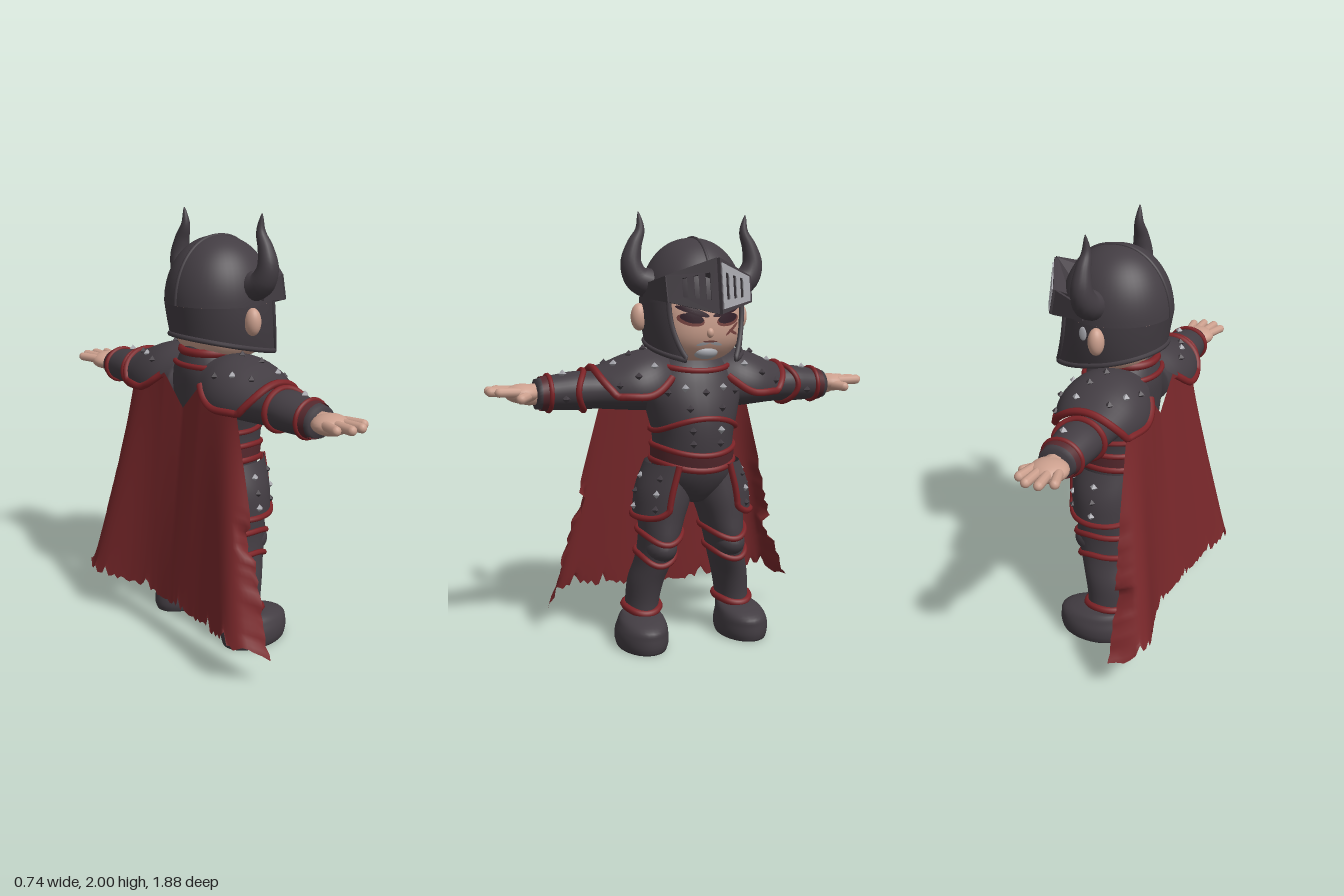
import * as THREE from 'three';
import { mergeVertices } from 'three/addons/utils/BufferGeometryUtils.js';

const V = (x, y, z) => new THREE.Vector3(x, y, z);
const mat = (name, color, side = THREE.FrontSide) => Object.assign(new THREE.MeshStandardMaterial({ color, side }), { name });
const { sin, cos, abs, max, min, PI, pow } = Math;

export function createModel() {
  const armour = mat('dark armour', 0x433d43, THREE.DoubleSide), trim = mat('red trim', 0x7e2327);
  const cloth = mat('cape cloth', 0x7a282b, THREE.DoubleSide), skin = mat('skin', 0xcca08e);
  const steel = mat('steel', 0xa6a6ac, THREE.DoubleSide), eyeDark = mat('eye dark', 0x33202a);
  const scarRed = mat('scar', 0x7a4642), hair = mat('grey beard', 0xa8aab0);
  const leather = mat('belt leather', 0x54282d, THREE.DoubleSide);
  const body = new THREE.Group();
  body.name = 'knight';

  const add = (g, name, geo, m) => {
    const mesh = new THREE.Mesh(geo, m);
    mesh.name = name;
    g.add(mesh);
    return mesh;
  };
  const pair = (name, build) => [1, -1].forEach(s => {
    const g = new THREE.Group();
    g.name = (s > 0 ? 'left' : 'right') + name;
    g.scale.x = s;
    build(g, s);
    body.add(g);
  });
  const weld = geo => {
    geo.deleteAttribute('uv');
    geo.deleteAttribute('normal');
    const w = mergeVertices(geo, 1e-4);
    w.computeVertexNormals();
    return w;
  };
  // Surface from a rule fn(u, v)
  const grid = (fn, nu, nv) => {
    const pos = [], idx = [];
    for (let i = 0; i <= nv; i++) for (let j = 0; j <= nu; j++) {
      pos.push(...fn(j / nu, i / nv).toArray());
      if (i < nv && j < nu) {
        const a = i * (nu + 1) + j, c = a + nu + 1;
        idx.push(a, a + 1, c + 1, a, c + 1, c);
      }
    }
    const geo = new THREE.BufferGeometry();
    geo.setAttribute('position', new THREE.Float32BufferAttribute(pos, 3));
    geo.setIndex(idx);
    return weld(geo);
  };
  // Smooth elliptical skin through rings [t, cx, cz, rx, rz]
  const surface = rings => (a, t, off = 0) => {
    const n = rings.length;
    let i = 0;
    while (i < n - 2 && rings[i + 1][0] <= t) i++;
    const h = rings[i + 1][0] - rings[i][0], f = min(1, max(0, (t - rings[i][0]) / h));
    const slope = (k, c) => {
      const p = rings[max(0, k - 1)], q = rings[min(n - 1, k + 1)];
      return (q[c] - p[c]) / (q[0] - p[0]) * h;
    };
    const [cx, cz, rx, rz] = [1, 2, 3, 4].map(c => {
      const f2 = f * f, f3 = f2 * f;
      return (2 * f3 - 3 * f2 + 1) * rings[i][c] + (f3 - 2 * f2 + f) * slope(i, c)
        + (3 * f2 - 2 * f3) * rings[i + 1][c] + (f3 - f2) * slope(i + 1, c);
    });
    return V(cx + (rx + off) * sin(a), t, cz + (rz + off) * cos(a));
  };
  const loft = (at, t0, t1, rows = 28) => grid((u, v) => {
    const k = min(1, max(0, (v * rows - 1) / (rows - 2))), t = t0 + (t1 - t0) * k;
    return v === 0 || v === 1 ? at(0, t).add(at(PI, t)).multiplyScalar(0.5) : at(u * 2 * PI, t);
  }, 32, rows);
  const tube = (pts, r, closed = false) =>
    new THREE.TubeGeometry(new THREE.CatmullRomCurve3(pts, closed), pts.length * 2, r, 7, closed);
  // Closed trim around a lofted surface; tFn gives its height at each angle
  const band = (g, name, at, tFn, r = 0.014) => add(g, name,
    tube(Array.from({ length: 32 }, (_, i) => at(i / 16 * PI, tFn(i / 16 * PI), 0.004)), r, true), trim);
  const stud = (g, p, bright) => add(g, 'stud', new THREE.OctahedronGeometry(0.019), bright ? steel : armour).position.copy(p);
  const ball = (g, name, p, r, m) => {
    const b = add(g, name, new THREE.SphereGeometry(1, 24, 16), m);
    b.position.set(...p);
    b.scale.set(...r);
  };
  const finger = (g, name, p, q, r) => {
    const d = q.clone().sub(p), b = add(g, name, new THREE.CapsuleGeometry(r, d.length(), 4, 10), skin);
    b.position.copy(p).addScaledVector(d, 0.5);
    b.quaternion.setFromUnitVectors(V(0, 1, 0), d.normalize());
  };
  const front = a => pow(max(0, cos(a)), 2);

  // Torso, belt and chest trims
  const torso = surface([[0.68, 0, 0.01, 0.06, 0.1], [0.73, 0, 0.015, 0.14, 0.14], [0.8, 0, 0.022, 0.185, 0.175],
    [0.88, 0, 0.03, 0.187, 0.19], [1.0, 0, 0.04, 0.19, 0.195], [1.1, 0, 0.035, 0.215, 0.195],
    [1.2, 0, 0.02, 0.235, 0.187], [1.3, 0, 0, 0.2, 0.17], [1.38, 0, -0.02, 0.13, 0.13], [1.42, 0, -0.02, 0.1, 0.11]]);
  add(body, 'torso', loft(torso, 0.68, 1.42, 40), armour);
  const sag = a => 0.035 * front(a);
  add(body, 'belt', grid((u, v) => torso(u * 2 * PI, 0.88 + 0.07 * v - sag(u * 2 * PI), 0.008), 40, 3), leather);
  band(body, 'beltLowerTrim', torso, a => 0.88 - sag(a), 0.016);
  band(body, 'beltUpperTrim', torso, a => 0.95 - sag(a), 0.013);
  band(body, 'chestPlateTrim', torso, a => 1.02 + 0.065 * front(a), 0.013);
  band(body, 'necklineTrim', torso, a => 1.325 - 0.03 * front(a), 0.013);
  band(body, 'collarTrim', torso, () => 1.385, 0.019);
  [-0.75, -0.4, 0, 0.4, 0.75].forEach((a, i) => stud(body, torso(a, 1.2 + 0.02 * (i % 2), 0.003), i % 2));
  [0.97, 1.03, 1.13].forEach((t, i) => [-0.35, 0.35].forEach(a => stud(body, torso(a, t, 0.003), i === 1 && a > 0)));

  // Legs
  pair('Leg', g => {
    const leg = surface([[0.13, 0.237, -0.03, 0.078, 0.1], [0.2, 0.23, -0.03, 0.078, 0.103], [0.3, 0.215, -0.02, 0.083, 0.115],
      [0.4, 0.185, 0.005, 0.084, 0.125], [0.5, 0.165, 0.02, 0.09, 0.14], [0.6, 0.15, 0.02, 0.105, 0.138],
      [0.7, 0.13, 0.015, 0.12, 0.143], [0.82, 0.1, 0.01, 0.1, 0.14]]);
    add(g, 'leg', loft(leg, 0.13, 0.82), armour);
    ball(g, 'kneePlate', [0.172, 0.47, 0.07], [0.075, 0.07, 0.1], armour);
    band(g, 'kneeUpperTrim', leg, a => 0.545 - 0.045 * front(a));
    band(g, 'kneeLowerTrim', leg, a => 0.44 - 0.045 * front(a));
    band(g, 'ankleTrim', leg, a => 0.175 - 0.02 * front(a), 0.017);
    // Blunt boot with a flat sole
    const boot = surface([[0, 0.255, 0.03, 0.112, 0.172], [0.03, 0.255, 0.03, 0.12, 0.18], [0.07, 0.255, 0.032, 0.119, 0.178],
      [0.105, 0.252, 0.034, 0.11, 0.17], [0.13, 0.248, 0.015, 0.1, 0.145], [0.15, 0.24, -0.02, 0.08, 0.105]]);
    add(g, 'boot', loft(boot, 0, 0.15, 18), armour);
    // Hip plate
    const hip = surface([[0.61, 0.095, 0.03, 0.19, 0.168], [0.75, 0.095, 0.03, 0.175, 0.17], [0.88, 0.09, 0.03, 0.125, 0.168]]);
    const edge = (u, v) => {
      const a0 = 0.4 - 0.15 * v, low = 0.625 + 0.04 * pow(abs(2 * u - 1), 6);
      return hip(a0 + u * (PI - 2 * a0), low + (0.87 - low) * v, 0.004);
    };
    add(g, 'hipPlate', grid(edge, 24, 8), armour);
    const line = [];
    for (let i = 8; i > 0; i--) line.push(edge(0, i / 8));
    for (let i = 0; i <= 16; i++) line.push(edge(i / 16, 0));
    for (let i = 1; i <= 8; i++) line.push(edge(1, i / 8));
    add(g, 'hipPlateTrim', tube(line, 0.015), trim);
    [0.67, 0.74, 0.81].forEach((t, i) => [0.75, PI / 2].forEach((a, k) => stud(g, hip(a, t, 0.004), (i + k) % 2)));
  });

  // Arms, built along y and laid sideways
  pair('Arm', g => {
    const arm = new THREE.Group();
    arm.name = 'armArmour';
    arm.rotation.z = -PI / 2;
    g.add(arm);
    const at = surface([[0.14, -1.2, -0.04, 0.1, 0.12], [0.3, -1.205, -0.045, 0.097, 0.11], [0.45, -1.205, -0.05, 0.086, 0.1],
      [0.54, -1.205, -0.05, 0.088, 0.103], [0.63, -1.2, -0.05, 0.08, 0.092], [0.72, -1.195, -0.045, 0.068, 0.077]]);
    add(arm, 'sleeve', loft(at, 0.14, 0.72), armour);
    band(arm, 'elbowTrim', at, a => 0.5 + 0.045 * front(a));
    add(arm, 'cuff', grid((u, v) => at(u * 2 * PI, 0.66 + 0.04 * v, 0.006), 32, 2), leather);
    band(arm, 'cuffTrim', at, () => 0.662, 0.011);
    [0, -PI / 2].forEach((a, i) => stud(arm, at(a + 0.3, 0.6, 0.003), i));
    // Shoulder plate, lobed front and back
    const shoulder = surface([[0.1, -1.2, -0.03, 0.17, 0.165], [0.2, -1.2, -0.025, 0.185, 0.2], [0.3, -1.2, -0.025, 0.165, 0.2],
      [0.4, -1.2, -0.035, 0.125, 0.165], [0.46, -1.2, -0.045, 0.105, 0.13]]);
    const cap = (u, v) => {
      const half = 1.0 + 0.65 * sin(PI / 2 * min(1, v * 1.6));
      return shoulder(-PI / 2 + (2 * u - 1) * half, 0.1 + v * (0.36 - 0.07 * pow(abs(2 * u - 1), 3)), 0.004);
    };
    add(arm, 'shoulderPlate', grid(cap, 28, 14), armour);
    const line = [];
    for (let i = 1; i < 8; i++) line.push(cap(0, i / 8));
    for (let i = 0; i <= 16; i++) line.push(cap(i / 16, 1));
    for (let i = 7; i > 0; i--) line.push(cap(1, i / 8));
    add(arm, 'shoulderPlateTrim', tube(line, 0.017), trim);
    [0.22, 0.3, 0.38].forEach((t, i) => [-0.9, 0, 0.9].forEach((a, k) =>
      stud(arm, shoulder(-PI / 2 + a + 0.2 * i, t, 0.006), (i + 2 * k) % 3 === 1)));
    // Hand
    ball(g, 'palm', [0.775, 1.2, -0.052], [0.08, 0.044, 0.082], skin);
    finger(g, 'wrist', V(0.7, 1.195, -0.045), V(0.75, 1.195, -0.045), 0.048);
    [[-0.108, -0.136, 0.88], [-0.07, -0.086, 0.917], [-0.03, -0.03, 0.919], [0.003, 0.016, 0.888]].forEach(([z0, z1, x]) =>
      finger(g, 'finger', V(0.8, 1.21, z0), V(x, 1.213, z1), 0.021));
    finger(g, 'thumb', V(0.75, 1.195, -0.01), V(0.8, 1.185, 0.052), 0.023);
  });

  // Head and face
  const P = 2.6, R = [0.205, 0.185, 0.208], C = [0, 1.515, 0.05];
  const headGeo = new THREE.SphereGeometry(1, 36, 26), hp = headGeo.attributes.position;
  for (let i = 0; i < hp.count; i++) {
    const d = [hp.getX(i), hp.getY(i), hp.getZ(i)];
    const n = pow(d.reduce((s, c) => s + pow(abs(c), P), 0), 1 / P);
    hp.setXYZ(i, ...d.map((c, k) => C[k] + c / n * R[k]));
  }
  add(body, 'head', weld(headGeo), skin);
  const faceZ = (x, y) => C[2] + R[2] * pow(max(0, 1 - pow(abs(x / R[0]), P) - pow(abs((y - C[1]) / R[1]), P)), 1 / P);
  const patch = (name, cx, cy, rx, ry, turn, m, off = 0.006) => {
    const geo = new THREE.RingGeometry(0.001, 1, 18, 4).scale(rx, ry, 1).rotateZ(turn).translate(cx, cy, 0);
    const p = geo.attributes.position;
    for (let i = 0; i < p.count; i++) p.setZ(i, faceZ(p.getX(i), p.getY(i)) + off);
    geo.computeVertexNormals();
    add(body, name, geo, m);
  };
  [1, -1].forEach(s => {
    patch('eyeShade', s * 0.088, 1.525, 0.06, 0.027, s * 0.2, scarRed, 0.004);
    patch('eye', s * 0.085, 1.532, 0.052, 0.021, s * 0.2, eyeDark, 0.007);
    patch('brow', s * 0.08, 1.562, 0.075, 0.014, s * 0.3, eyeDark, 0.009);
    patch('moustache', s * 0.03, 1.42, 0.032, 0.007, s * -0.2, hair, 0.006);
  });
  ball(body, 'beard', [0, 1.383, 0.195], [0.06, 0.034, 0.041], hair);
  patch('mouth', 0, 1.43, 0.035, 0.004, 0, scarRed, 0.008);
  patch('scar', 0.11, 1.485, 0.045, 0.007, 0.7, scarRed);
  patch('scarBranch', 0.115, 1.47, 0.028, 0.007, -0.4, scarRed);
  ball(body, 'nose', [0, 1.468, 0.252], [0.017, 0.022, 0.018], skin);
  pair('Ear', g => ball(g, 'ear', [0.247, 1.535, 0.01], [0.039, 0.062, 0.036], skin));

  // Helmet: dome above, open-fronted skirt below
  const depth = c => c > 0 ? 0.255 : 0.248;
  const dome = (phi, th) => {
    const k = pow(max(0, cos(th)), 0.92);
    return V(0.238 * sin(phi) * k, 1.6 + 0.29 * sin(th), 0.025 + depth(cos(phi)) * cos(phi) * k);
  };
  add(body, 'helmetDome', grid((u, v) => dome(u * 2 * PI, v * PI / 2 * 0.9999), 48, 18), armour);
  const skirt = (u, v) => {
    const d = 1 - v, open = 0.82 - 0.25 * pow(d, 2.5), phi = open + u * 2 * (PI - open), c = cos(phi);
    const z = 0.025 + (depth(c) + (c > 0 ? 0.038 : -0.025) * d) * c;
    return V((0.238 - 0.022 * d * d) * sin(phi), 1.6 - d * (0.185 + 0.235 * z), z);
  };
  add(body, 'helmetSkirt', grid(skirt, 48, 10), armour);
  const rim = [];
  for (let i = 8; i > 0; i--) rim.push(skirt(0, i / 8));
  for (let i = 0; i <= 32; i++) rim.push(skirt(i / 32, 0));
  for (let i = 1; i <= 8; i++) rim.push(skirt(1, i / 8));
  add(body, 'helmetRim', tube(rim, 0.012), armour);
  add(body, 'helmetCrest', tube(Array.from({ length: 25 }, (_, i) => {
    const th = i / 24 * PI;
    return dome(th < PI / 2 ? 0 : PI, th < PI / 2 ? th : PI - th);
  }), 0.008), armour);
  ball(body, 'helmetWornPatch', [0.234, 1.555, 0.08], [0.007, 0.032, 0.018], steel);

  // Visor plates: a unit square with slots, bent onto four corners
  const plate = (corners, inset, slots, d0, thick) => {
    const [a, b, c, d] = corners, [s0, s1, t0, t1] = inset;
    const rect = (o, x0, x1, y0, y1) => o.moveTo(x0, y0).lineTo(x1, y0).lineTo(x1, y1).lineTo(x0, y1).closePath();
    const shape = new THREE.Shape();
    rect(shape, s0, s1, t0, t1);
    slots.forEach(s => { const h = new THREE.Path(); rect(h, s, s + 0.1, 0.24, 0.76); shape.holes.push(h); });
    const geo = new THREE.ExtrudeGeometry(shape, { depth: thick, bevelEnabled: false }), p = geo.attributes.position;
    const n = b.clone().sub(a).cross(d.clone().sub(a)).normalize();
    for (let i = 0; i < p.count; i++) {
      const s = p.getX(i), t = p.getY(i);
      const q = a.clone().lerp(b, s).lerp(d.clone().lerp(c, s), t).addScaledVector(n, d0 + p.getZ(i));
      p.setXYZ(i, q.x, q.y, q.z);
    }
    geo.computeVertexNormals();
    return geo;
  };
  pair('Visor', (g, s) => {
    const f = [V(0, 1.55, 0.362), V(0.19, 1.6, 0.25), V(0.193, 1.715, 0.225), V(0, 1.79, 0.325)];
    const slots = [0.14, 0.37, 0.6];
    add(g, 'visorPlate', plate(f, [0, 1, 0, 1], slots, 0, 0.016), armour);
    if (s > 0) add(g, 'visorSteel', plate(f, [0.03, 0.92, 0.08, 0.92], slots, 0.016, 0.005), steel);
    add(g, 'visorHinge', plate([f[1], V(0.243, 1.62, 0.07), V(0.241, 1.68, 0.07), f[2]], [0, 1, 0, 1], [], -0.004, 0.012), armour);
    add(g, 'visorTop', plate([f[3], f[2], V(0.16, 1.69, 0.18), V(0, 1.7, 0.255)], [0, 1, 0, 1], [], -0.006, 0.006), armour);
  });

  // Horns
  pair('Horn', g => {
    const curve = new THREE.CatmullRomCurve3([V(0.2, 1.68, 0.045), V(0.265, 1.705, 0.045), V(0.296, 1.77, 0.048),
      V(0.282, 1.85, 0.048), V(0.253, 1.92, 0.046), V(0.26, 1.998, 0.045)]);
    const n = 24, fr = curve.computeFrenetFrames(n);
    add(g, 'horn', grid((u, v) => {
      const i = Math.round(v * n), r = 0.068 * pow(1 - v, 0.8) + 0.002, a = u * 2 * PI;
      return curve.getPointAt(v).addScaledVector(fr.normals[i], r * cos(a)).addScaledVector(fr.binormals[i], r * sin(a));
    }, 18, n), armour);
  });

  // Cape with torn hem and sides, its outer folds sweeping back
  const noise = k => { const x = sin(k * 127.1 + 11.7) * 43758.5453; return x - Math.floor(x); };
  add(body, 'cape', grid((u, w) => {
    const v = 1 - w, s = 2 * u - 1, e = abs(s), row = Math.round(v * 40), col = Math.round(u * 72);
    const tear = abs(v - (s > 0 ? 0.74 : 0.57)) < 0.045 ? 0.07 : 0;
    const notch = v > 0.42 && v < 0.97 ? 0.04 * noise(row + (s > 0 ? 0 : 50)) + tear : 0;
    const x = s * (0.34 + 0.3 * v) * (1 - notch * max(0, (e - 0.88) / 0.12));
    const top = 1.27 - 0.14 * max(0, 1 - abs(x) / 0.13);
    const hem = 0.19 - 0.06 * pow(e, 14);
    const rag = (0.03 * noise(col + 100) + (noise(col + 300) > 0.9 ? 0.04 : 0)) * pow(v, 20);
    const z = -0.187 - 0.105 * v - 0.078 * v * sin(PI * pow(e, 3)) + 0.06 * v * pow(e, 10) + 0.015 * v * sin(s * 5) * (1 - e);
    return V(x, top + (hem - top) * v + rag, z);
  }, 72, 40), cloth);

  // Turn the figure toward +x
  body.rotation.y = PI / 2;
  const model = new THREE.Group();
  model.name = 'hornedKnight';
  model.add(body);
  return model;
}
